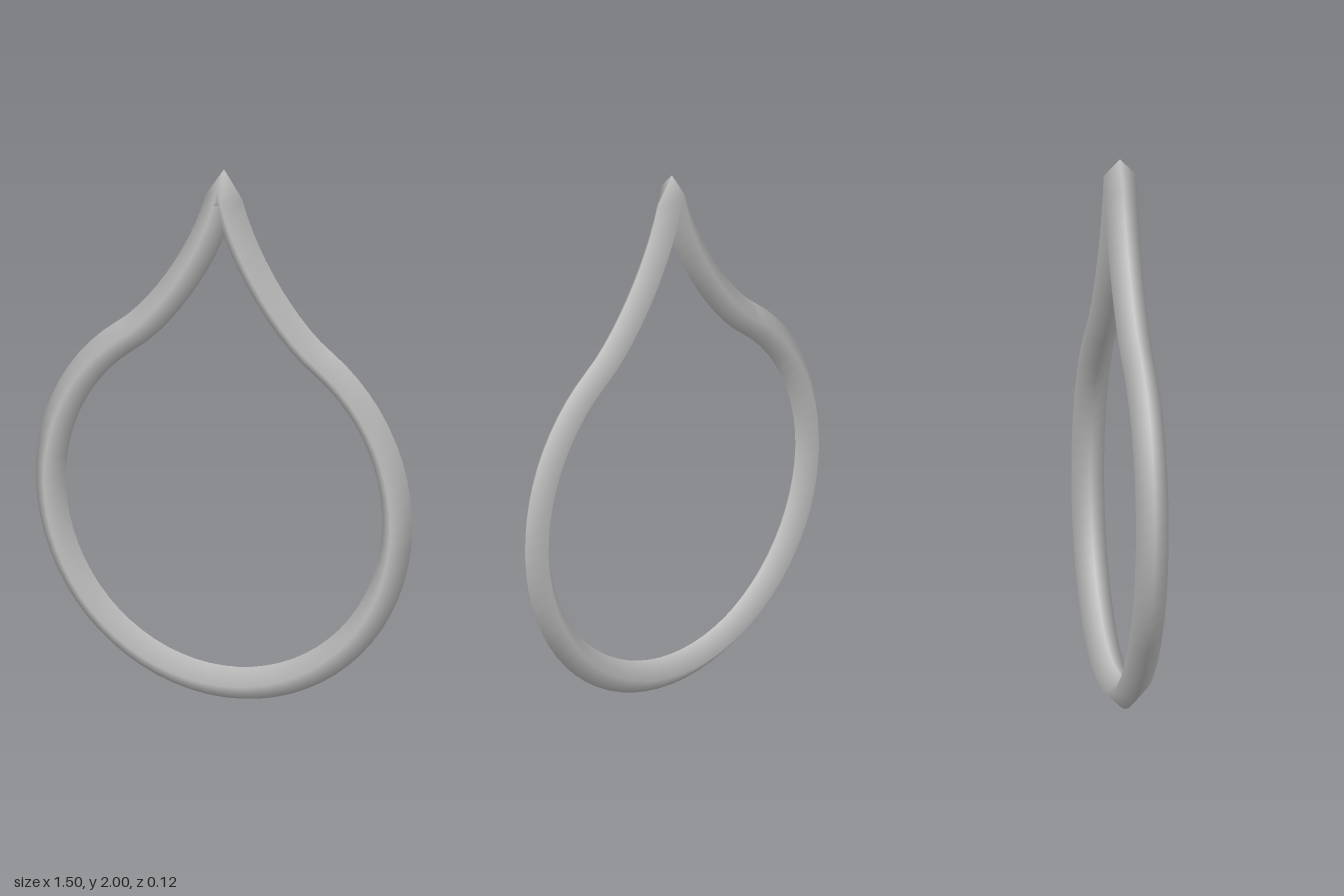
import * as THREE from 'three';

const RADIUS = 0.06; // half thickness of the diamond-section rod
const SIDES = 4;

// Centre line of the +x half, from the bottom up to the tip: round bowl, then a flared neck.
function halfPath() {
  const end = THREE.MathUtils.degToRad(55);
  const bowl = new THREE.EllipseCurve(0, 0.75, 0.69, 0.69, -Math.PI / 2, end, false);
  const neck = new THREE.CubicBezierCurve(
    new THREE.Vector2(0.69 * Math.cos(end), 0.75 + 0.69 * Math.sin(end)),
    new THREE.Vector2(0.25, 1.41),
    new THREE.Vector2(0.05, 1.69),
    new THREE.Vector2(0, 1.94)
  );
  const stations = [];
  const add = (curve, u) => {
    const p = curve.getPointAt(u);
    const t = curve.getTangentAt(u);
    stations.push({ x: p.x, y: p.y, nx: t.y, ny: -t.x });
  };
  for (let i = 0; i < 28; i++) add(bowl, i / 28);
  for (let i = 0; i < 12; i++) add(neck, i / 12);
  // the tip section stands upright, so both halves meet in a point
  stations.push({ x: 0, y: 1.94, nx: 0, ny: 1 });
  return stations;
}

// Sweep the diamond section along the stations, with normals pointing away from the centre line.
function sweep(stations) {
  const positions = [], normals = [], index = [];
  stations.forEach((s, i) => {
    for (let j = 0; j <= SIDES; j++) {
      const a = (j / SIDES) * Math.PI * 2;
      const n = [Math.cos(a) * s.nx, Math.cos(a) * s.ny, Math.sin(a)];
      normals.push(...n);
      positions.push(s.x + RADIUS * n[0], s.y + RADIUS * n[1], RADIUS * n[2]);
      if (i < stations.length - 1 && j < SIDES) {
        const p = i * (SIDES + 1) + j;
        const q = p + SIDES + 1;
        index.push(p, q, p + 1, q, q + 1, p + 1);
      }
    }
  });
  const geometry = new THREE.BufferGeometry();
  geometry.setAttribute('position', new THREE.Float32BufferAttribute(positions, 3));
  geometry.setAttribute('normal', new THREE.Float32BufferAttribute(normals, 3));
  geometry.setIndex(index);
  return geometry;
}

export function createModel() {
  const metal = new THREE.MeshStandardMaterial({ color: 0xc0c0c0 });
  metal.name = 'silver grey';

  // closed loop: the +x half up to the tip, then its mirror image back down
  const half = halfPath();
  const mirrored = half.slice(0, -1).reverse().map((s) => ({ ...s, x: -s.x, nx: -s.nx }));

  const loop = new THREE.Mesh(sweep([...half, ...mirrored]), metal);
  loop.name = 'teardropLoop';

  const model = new THREE.Group();
  model.name = 'teardropRing';
  model.add(loop);
  return model;
}
